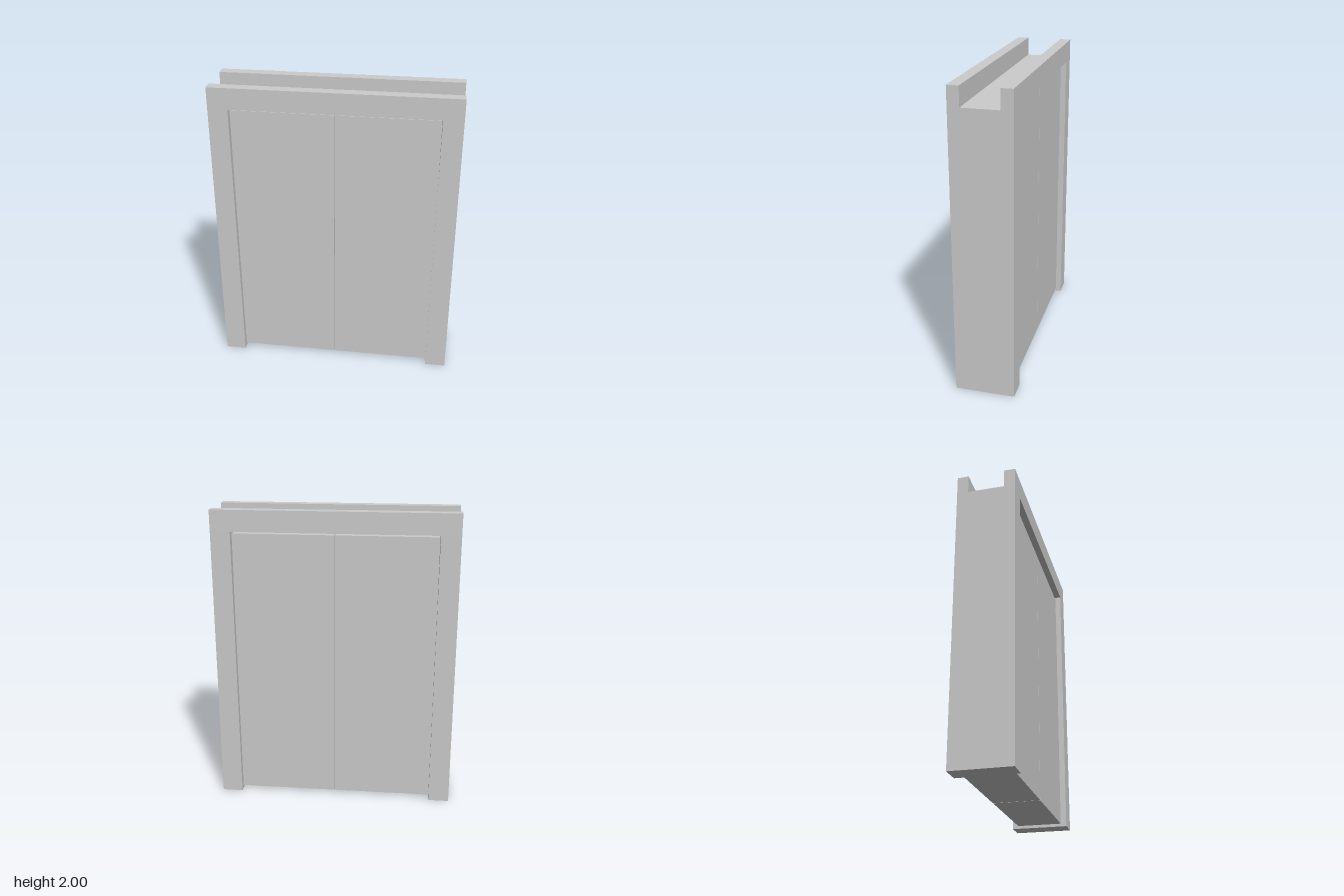
import * as THREE from 'three';

const W = 0.8, H = 2, D = 0.195;          // half width, height, half depth
const OPEN_TOP = 0.67, OPEN_FOOT = 0.662; // half opening width, slightly tapered
const SOFFIT = 1.86;

const material = new THREE.MeshStandardMaterial({ color: 0xcccccc, flatShading: true });

function extrude(name, points, depth) {
  const shape = new THREE.Shape(points.map(([x, y]) => new THREE.Vector2(x, y)));
  const geometry = new THREE.ExtrudeGeometry(shape, { depth, bevelEnabled: false });
  geometry.translate(0, 0, -depth / 2);
  const mesh = new THREE.Mesh(geometry, material);
  mesh.name = name;
  return mesh;
}

export function createModel() {
  const model = new THREE.Group();
  model.name = 'doubleDoor';

  // Header: channel section running the full width, open at the top and ends
  const header = extrude('header', [
    [-D, SOFFIT], [D, SOFFIT], [D, H], [0.12, H],
    [0.12, 1.875], [-0.12, 1.875], [-0.12, H], [-D, H],
  ], 2 * W);
  header.rotation.y = Math.PI / 2;
  model.add(header);

  for (const side of [-1, 1]) {
    const label = side > 0 ? 'left' : 'right';

    // Jamb with a slightly leaning inner face
    model.add(extrude(label + 'Jamb', [
      [side * W, 0], [side * W, SOFFIT], [side * OPEN_TOP, SOFFIT], [side * OPEN_FOOT, 0],
    ], 2 * D));

    // Door leaf, set back on both faces, clear of the floor and the header
    const inner = 0.002, outer = 0.668, bottom = 0.02, top = 1.843;
    const leaf = new THREE.Mesh(new THREE.BoxGeometry(outer - inner, top - bottom, 0.31), material);
    leaf.name = label + 'DoorLeaf';
    leaf.position.set(side * (inner + outer) / 2, (top + bottom) / 2, 0);
    model.add(leaf);
  }

  return model;
}
